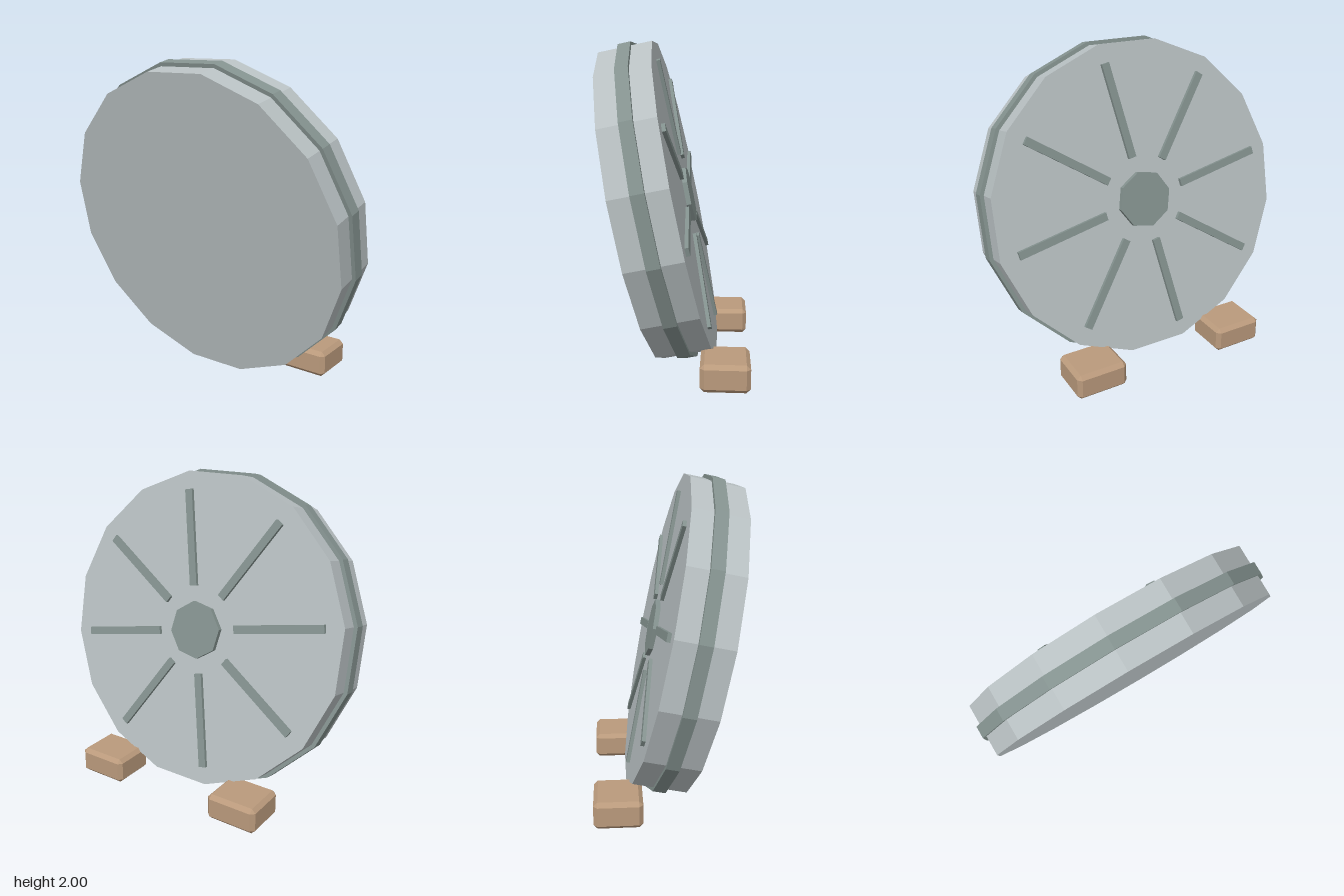
import * as THREE from 'three';
import { ConvexGeometry } from 'three/addons/geometries/ConvexGeometry.js';

const STEP = Math.PI / 16; // half of one side of the sixteen-sided wheel

export function createModel() {
  const paleStone = new THREE.MeshStandardMaterial({ color: 0xb8c0c2 });
  paleStone.name = 'paleStone';
  const darkStone = new THREE.MeshStandardMaterial({ color: 0x84928f });
  darkStone.name = 'darkStone';
  const wood = new THREE.MeshStandardMaterial({ color: 0xba9a7c });
  wood.name = 'wood';
  for (const m of [paleStone, darkStone, wood]) m.flatShading = true;

  const model = new THREE.Group();
  model.name = 'leaningStoneWheel';

  const add = (parent, name, geometry, material) => {
    const mesh = new THREE.Mesh(geometry, material);
    mesh.name = name;
    parent.add(mesh);
    return mesh;
  };

  // Polygonal disc with its axis along z
  const disc = (radius, depth, sides, start) =>
    new THREE.CylinderGeometry(radius, radius, depth, sides, 1, false, start).rotateX(Math.PI / 2);

  // Wheel leaning forward
  const wheel = new THREE.Group();
  wheel.name = 'wheel';
  wheel.position.set(0, 1.01, 0.1);
  wheel.rotation.x = THREE.MathUtils.degToRad(11.8);
  model.add(wheel);
  add(wheel, 'stoneDisc', disc(0.996, 0.332, 16, STEP), paleStone);
  add(wheel, 'rimBand', disc(1.0196, 0.078, 16, STEP), darkStone);

  // Hub and eight raised ribs on the back face
  const back = -0.166;
  add(wheel, 'hub', disc(0.182, 0.06, 8, -STEP), darkStone).position.z = back;
  for (let i = 0; i < 8; i++) {
    const angle = -STEP + (i * Math.PI) / 4;
    const rib = add(wheel, 'rib', new THREE.BoxGeometry(0.6, 0.05, 0.044), darkStone);
    rib.position.set(Math.cos(angle) * 0.58, Math.sin(angle) * 0.58, back);
    rib.rotation.z = angle;
  }

  // Box with every edge chamfered
  const chamferedBox = (w, h, d, c) => {
    const points = [];
    for (const x of [-1, 1]) for (const y of [-1, 1]) for (const z of [-1, 1]) {
      for (const face of [0, 1, 2]) {
        const inset = [0, 1, 2].map((axis) => (axis === face ? 0 : c));
        points.push(new THREE.Vector3(
          x * (w / 2 - inset[0]), y * (h / 2 - inset[1]), z * (d / 2 - inset[2])));
      }
    }
    return new ConvexGeometry(points);
  };

  // Pair of wooden chocks behind the wheel
  for (const [side, name] of [[1, 'leftChock'], [-1, 'rightChock']]) {
    add(model, name, chamferedBox(0.335, 0.168, 0.294, 0.025), wood)
      .position.set(side * 0.508, 0.086, -0.317);
  }

  return model;
}
